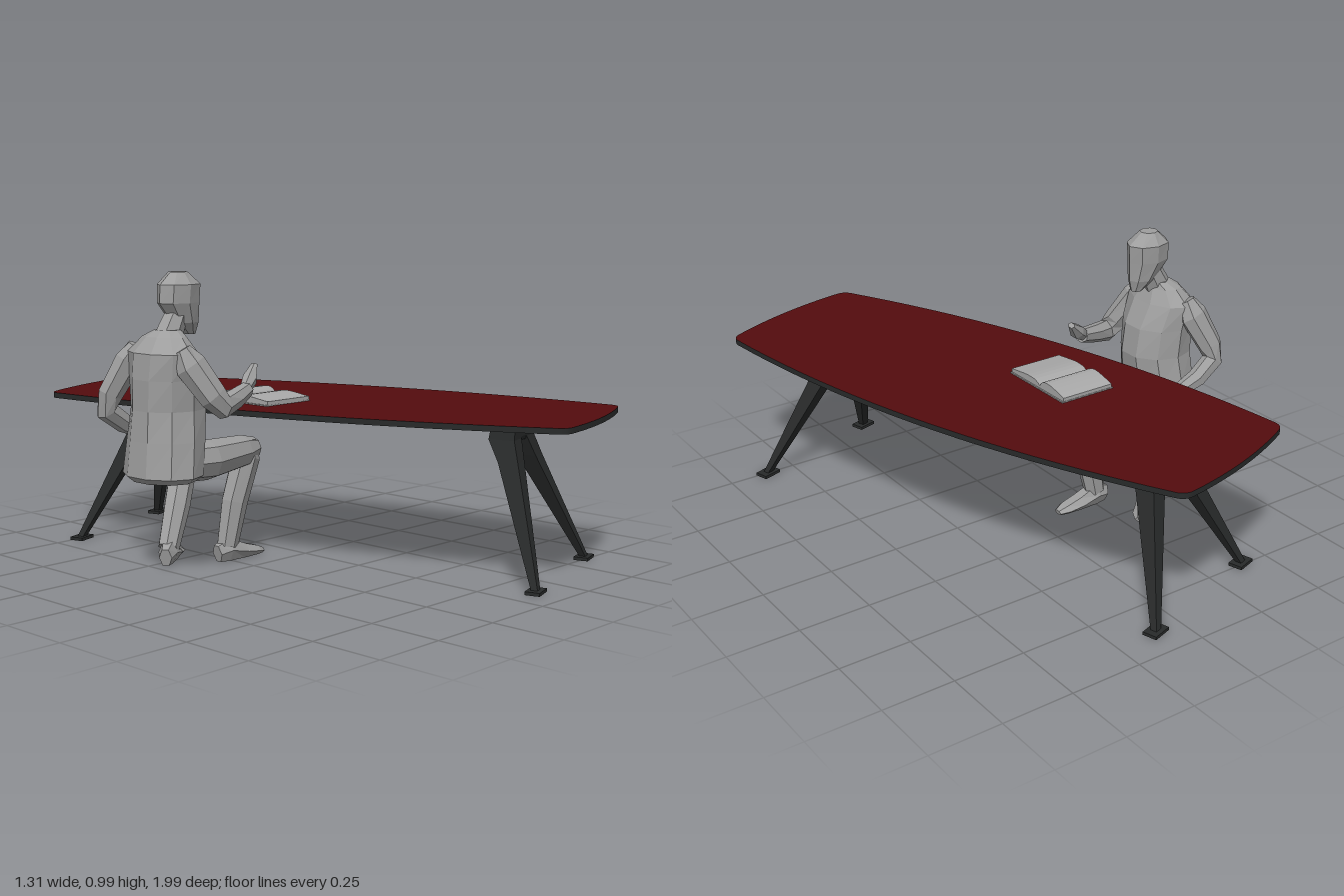
import * as THREE from 'three';

const V = (x, y, z) => new THREE.Vector3(x, y, z);

// Faceted skin over equal-length rings, closed at both ends
function loft(rings) {
  const n = rings[0].length, last = rings.length - 1, pos = [];
  const tri = (...pts) => pts.forEach((p) => pos.push(p.x, p.y, p.z));
  for (let i = 0; i < last; i++) {
    for (let j = 0; j < n; j++) {
      const k = (j + 1) % n;
      const a = rings[i][j], b = rings[i][k], c = rings[i + 1][k], d = rings[i + 1][j];
      tri(a, b, c);
      tri(a, c, d);
    }
  }
  for (let j = 1; j < n - 1; j++) {
    tri(rings[0][0], rings[0][j + 1], rings[0][j]);
    tri(rings[last][0], rings[last][j], rings[last][j + 1]);
  }
  const g = new THREE.BufferGeometry();
  g.setAttribute('position', new THREE.Float32BufferAttribute(pos, 3));
  g.computeVertexNormals();
  return g;
}

function ring(c, u, v, ru, rv, n, offset = 0) {
  return Array.from({ length: n }, (_, j) => {
    const a = offset + (j / n) * Math.PI * 2;
    return c.clone().addScaledVector(u, Math.cos(a) * ru).addScaledVector(v, Math.sin(a) * rv);
  });
}

// Level sections, bottom to top: [y, x, z, half x, half z]
function stack(sections, n, offset = 0, grow = 1) {
  return loft(sections.map(([y, x, z, rx, rz]) =>
    ring(V(x, y, z), V(0, 0, 1), V(1, 0, 0), rz * grow, rx * grow, n, offset)));
}

// Sections square to a path: [x, y, z, half width, half depth]
function limb(sections, n = 7, offset = 0) {
  const pts = sections.map((s) => V(s[0], s[1], s[2]));
  return loft(sections.map((s, i) => {
    const d = pts[Math.min(i + 1, pts.length - 1)].clone().sub(pts[Math.max(i - 1, 0)]).normalize();
    const u = V(0, 0, 1).addScaledVector(d, -d.z).normalize();
    return ring(pts[i], u, d.clone().cross(u), s[3], s[4], n, offset);
  }));
}

export function createModel() {
  const mat = (name, color) => Object.assign(new THREE.MeshStandardMaterial({ color }), { name });
  const red = mat('dark red top', 0x540c0e);
  const dark = mat('dark metal', 0x282a2a);
  const grey = mat('figure grey', 0x9e9e9e);
  const paper = mat('paper grey', 0xa8a8a8);

  const model = new THREE.Group();
  const add = (parent, name, geometry, material) => {
    const m = new THREE.Mesh(geometry, material);
    m.name = name;
    parent.add(m);
    return m;
  };

  // Table, turned slightly about the vertical
  const table = new THREE.Group();
  table.name = 'table';
  table.position.x = 0.105;
  table.rotation.y = 0.3;
  model.add(table);

  // Boat-shaped top with bowed sides and ends
  const s = new THREE.Shape();
  s.moveTo(0.295, -0.925);
  s.quadraticCurveTo(0.485, 0, 0.295, 0.925);
  s.quadraticCurveTo(0.288, 0.957, 0.255, 0.963);
  s.quadraticCurveTo(0, 1.003, -0.255, 0.963);
  s.quadraticCurveTo(-0.288, 0.957, -0.295, 0.925);
  s.quadraticCurveTo(-0.485, 0, -0.295, -0.925);
  s.quadraticCurveTo(-0.288, -0.957, -0.255, -0.963);
  s.quadraticCurveTo(0, -1.003, 0.255, -0.963);
  s.quadraticCurveTo(0.288, -0.957, 0.295, -0.925);
  const top = new THREE.ExtrudeGeometry(s, { depth: 0.019, bevelEnabled: false, curveSegments: 20 });
  top.rotateX(Math.PI / 2).translate(0, 0.533, 0);
  add(table, 'tableTop', top, [red, dark]);

  // A splayed pair of tapering legs under each end
  for (const end of [0, 1]) {
    const pair = new THREE.Group();
    pair.name = end ? 'backLegs' : 'frontLegs';
    pair.rotation.y = end * Math.PI;
    table.add(pair);
    add(pair, 'mountPlate', new THREE.BoxGeometry(0.296, 0.008, 0.16).translate(0, 0.511, 0.682), dark);
    add(pair, 'legBridge', stack([
      [0.44, 0, 0.677, 0.03, 0.04],
      [0.455, 0, 0.677, 0.06, 0.045],
      [0.51, 0, 0.682, 0.085, 0.04],
    ], 4, Math.PI / 4, Math.SQRT2), dark);
    for (const side of [-1, 1]) {
      add(pair, 'leg', stack([
        [0.008, side * 0.259, 0.857, 0.013, 0.011],
        [0.38, side * 0.09, 0.71, 0.032, 0.034],
        [0.45, side * 0.062, 0.678, 0.036, 0.044],
        [0.51, side * 0.046, 0.682, 0.04, 0.04],
      ], 4, Math.PI / 4, Math.SQRT2), dark);
      add(pair, 'footPad', new THREE.BoxGeometry(0.072, 0.011, 0.05)
        .translate(side * 0.259, 0.0055, 0.857), dark);
    }
  }

  // Open book: a page profile swept along x
  const book = new THREE.Group();
  book.name = 'openBook';
  model.add(book);
  const p = new THREE.Shape();
  p.moveTo(0, 0.537);
  p.lineTo(0, 0.55);
  p.bezierCurveTo(0.06, 0.555, 0.13, 0.575, 0.163, 0.546);
  p.bezierCurveTo(0.175, 0.58, 0.22, 0.572, 0.295, 0.55);
  p.lineTo(0.295, 0.537);
  p.closePath();
  const pages = new THREE.ExtrudeGeometry(p, { depth: 0.2, bevelEnabled: false, curveSegments: 8 });
  add(book, 'pages', pages.rotateY(Math.PI / 2).translate(-0.182, 0, 0), paper);
  add(book, 'bookCover', new THREE.BoxGeometry(0.21, 0.004, 0.297).translate(-0.082, 0.536, -0.148), paper);

  // Seated figure facing +x
  const figure = new THREE.Group();
  figure.name = 'seatedFigure';
  model.add(figure);
  const part = (name, geometry) => add(figure, name, geometry, grey);

  part('jacket', stack([
    [0.315, -0.53, -0.135, 0.095, 0.12],
    [0.335, -0.53, -0.135, 0.118, 0.148],
    [0.45, -0.515, -0.135, 0.122, 0.138],
    [0.55, -0.505, -0.133, 0.125, 0.125],
    [0.65, -0.513, -0.13, 0.117, 0.13],
    [0.735, -0.53, -0.128, 0.092, 0.138],
    [0.785, -0.52, -0.13, 0.058, 0.085],
    [0.805, -0.505, -0.132, 0.042, 0.045],
  ], 10));
  part('neck', limb([
    [-0.51, 0.77, -0.132, 0.045, 0.05],
    [-0.455, 0.87, -0.135, 0.036, 0.038],
  ]));
  part('head', stack([
    [0.785, -0.408, -0.135, 0.02, 0.02],
    [0.825, -0.43, -0.135, 0.052, 0.041],
    [0.89, -0.455, -0.135, 0.08, 0.056],
    [0.95, -0.452, -0.135, 0.08, 0.06],
    [0.99, -0.455, -0.135, 0.032, 0.03],
  ], 8));

  // Right arm bent forward over the table
  part('rightArm', limb([
    [-0.545, 0.75, -0.02, 0.03, 0.03],
    [-0.525, 0.7, 0.0, 0.043, 0.056],
    [-0.47, 0.6, 0.045, 0.038, 0.05],
    [-0.435, 0.565, 0.055, 0.034, 0.042],
    [-0.36, 0.58, 0.03, 0.033, 0.034],
    [-0.28, 0.6, 0.0, 0.026, 0.026],
  ]));
  part('rightHand', limb([
    [-0.295, 0.595, 0.005, 0.016, 0.02],
    [-0.245, 0.63, -0.02, 0.026, 0.027],
    [-0.2, 0.672, -0.045, 0.013, 0.01],
  ], 6));

  // Left arm drawn back, hand resting on the thigh
  part('leftArm', limb([
    [-0.545, 0.75, -0.24, 0.03, 0.03],
    [-0.56, 0.7, -0.262, 0.04, 0.052],
    [-0.61, 0.59, -0.3, 0.036, 0.045],
    [-0.615, 0.535, -0.312, 0.034, 0.04],
    [-0.54, 0.485, -0.318, 0.032, 0.034],
    [-0.46, 0.45, -0.31, 0.025, 0.025],
  ]));
  part('leftHand', limb([
    [-0.475, 0.455, -0.312, 0.02, 0.02],
    [-0.42, 0.435, -0.305, 0.026, 0.02],
    [-0.375, 0.42, -0.3, 0.014, 0.01],
  ], 6));

  // Legs
  part('rightThigh', limb([
    [-0.54, 0.375, -0.08, 0.065, 0.065],
    [-0.38, 0.368, -0.085, 0.068, 0.068],
    [-0.2, 0.372, -0.11, 0.053, 0.056],
    [-0.135, 0.378, -0.115, 0.034, 0.036],
  ], 8));
  part('rightShin', limb([
    [-0.165, 0.41, -0.115, 0.032, 0.03],
    [-0.175, 0.35, -0.115, 0.047, 0.052],
    [-0.225, 0.2, -0.12, 0.042, 0.05],
    [-0.255, 0.05, -0.125, 0.034, 0.04],
  ]));
  part('leftThigh', limb([
    [-0.54, 0.375, -0.19, 0.065, 0.065],
    [-0.4, 0.365, -0.26, 0.066, 0.066],
    [-0.27, 0.358, -0.325, 0.05, 0.054],
    [-0.215, 0.355, -0.345, 0.033, 0.036],
  ], 8));
  part('leftShin', limb([
    [-0.225, 0.385, -0.345, 0.03, 0.03],
    [-0.26, 0.32, -0.335, 0.046, 0.05],
    [-0.34, 0.18, -0.285, 0.041, 0.05],
    [-0.415, 0.05, -0.245, 0.034, 0.04],
  ]));

  // Shoes, built heel to toe and set flat on the ground
  const shoe = () => limb([
    [-0.045, 0.029, 0, 0.022, 0.033],
    [0, 0.038, 0, 0.033, 0.044],
    [0.07, 0.024, 0, 0.037, 0.028],
    [0.13, 0.016, 0, 0.034, 0.018],
    [0.162, 0.009, 0, 0.018, 0.01],
  ], 6);
  part('rightShoe', shoe()).position.set(-0.255, 0, -0.125);
  const left = part('leftShoe', shoe());
  left.position.set(-0.425, 0, -0.235);
  left.rotation.y = 0.65;

  return model;
}
